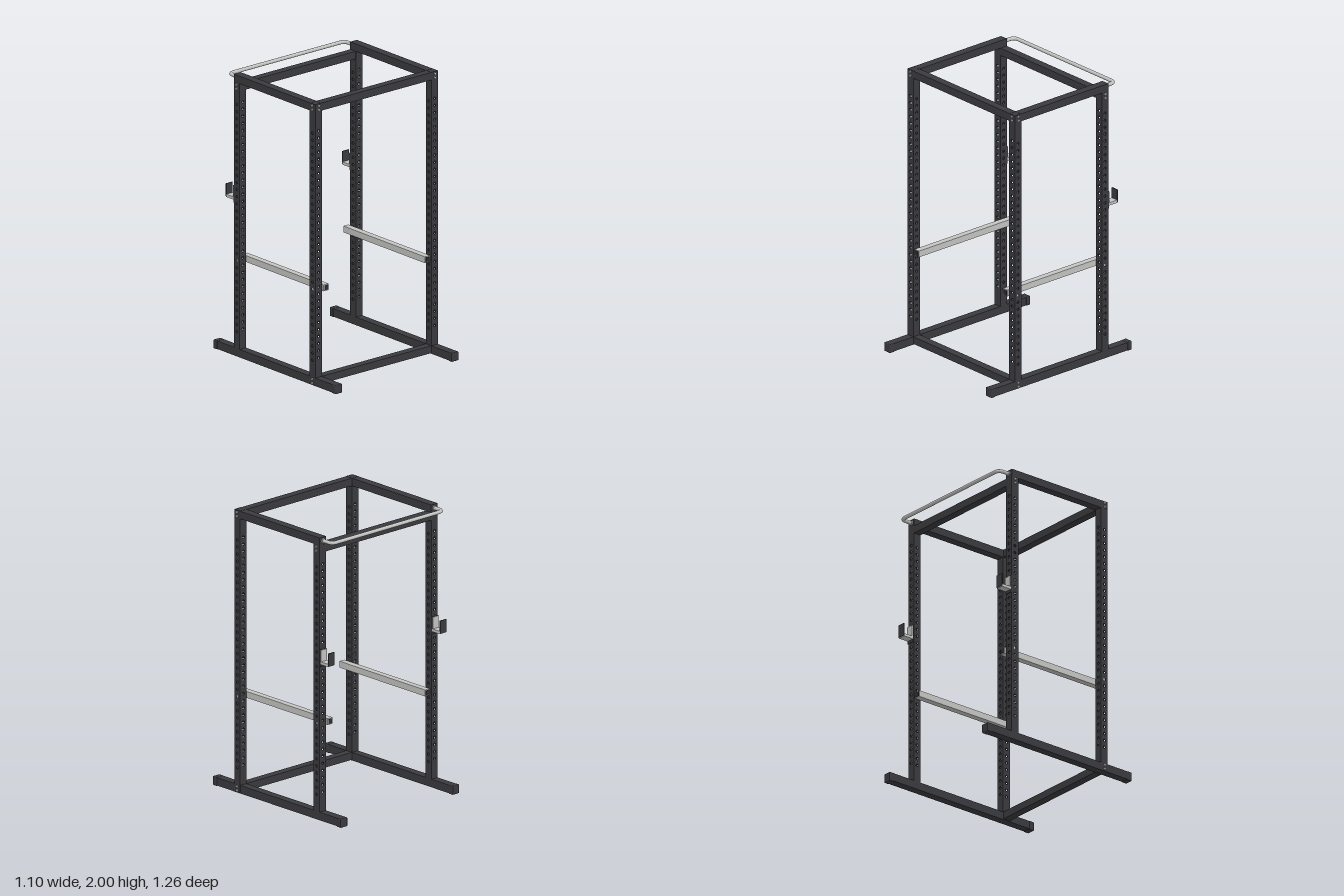
import * as THREE from 'three';
import { RoundedBoxGeometry } from 'three/addons/geometries/RoundedBoxGeometry.js';

export function createModel() {
  const model = new THREE.Group();
  model.name = 'powerRack';
  const mat = (name, color) => {
    const m = new THREE.MeshStandardMaterial({ color });
    m.name = name;
    return m;
  };
  const frame = mat('charcoal frame', 0x3b3a3f);
  const steel = mat('light steel', 0xc4c4c2);
  const black = mat('black plastic', 0x2c2c2f);

  const X = 0.513, Z = 0.39, H = 0.029;   // post centres and half width
  const add = (parent, name, geo, material, x = 0, y = 0, z = 0) => {
    const mesh = new THREE.Mesh(geo, material);
    mesh.name = name;
    mesh.position.set(x, y, z);
    parent.add(mesh);
    return mesh;
  };
  const box = (parent, name, material, w, h, d, x, y, z) =>
    add(parent, name, new THREE.BoxGeometry(w, h, d), material, x, y, z);
  const rod = (parent, name, r, len, axis, x, y, z, sides = 16) => {
    const g = new THREE.CylinderGeometry(r, r, len, sides);
    if (axis === 'x') g.rotateZ(Math.PI / 2);
    if (axis === 'z') g.rotateX(Math.PI / 2);
    return add(parent, name, g, steel, x, y, z);
  };

  // One wall of a hollow post, punched with a column of holes
  const WALL = 0.005;
  const wallGeometry = (bottom, top, firstHole) => {
    const s = new THREE.Shape();
    s.moveTo(-H, bottom);
    s.lineTo(H, bottom);
    s.lineTo(H, top);
    s.lineTo(-H, top);
    s.closePath();
    for (let i = 0; i < 33; i++) {
      const hole = new THREE.Path();
      hole.absarc(0, firstHole + i * 0.0503, 0.0095, 0, Math.PI * 2, true);
      s.holes.push(hole);
    }
    const g = new THREE.ExtrudeGeometry(s, { depth: WALL, bevelEnabled: false, curveSegments: 10 });
    g.translate(0, 0, H - WALL);
    return g;
  };
  const addPost = (name, x, z, bottom, top) => {
    const post = new THREE.Group();
    post.name = name;
    post.position.set(x, 0, z);
    const faceWall = wallGeometry(bottom, top, 0.2);
    const sideWall = wallGeometry(bottom, top, 0.18);
    for (let i = 0; i < 4; i++) {
      const wall = add(post, 'postWall', i % 2 ? sideWall : faceWall, frame);
      wall.rotation.y = i * Math.PI / 2;
    }
    box(post, 'postCap', frame, 2 * H - 0.002, 0.006, 2 * H - 0.002, 0, top - 0.004, 0);
    model.add(post);
  };

  for (const s of [-1, 1]) {
    const x = s * X;
    const side = s > 0 ? 'left' : 'right';
    addPost(side + 'FrontPost', x, Z, 0.004, 2);
    addPost(side + 'RearPost', x, -Z, 0.06, 1.946);

    // Floor runner with end caps, and top side rail
    box(model, side + 'FloorRunner', frame, 0.057, 0.057, 1.23, x, 0.0325, 0);
    for (const e of [-1, 1])
      add(model, 'runnerEndCap', new RoundedBoxGeometry(0.062, 0.063, 0.04, 2, 0.006),
        frame, x, 0.0315, e * 0.61);
    box(model, side + 'TopRail', frame, 0.059, 0.054, 2 * Z + H * 2 - 0.002, x, 1.972, 0);

    // Paired bolts on the outside of each joint
    for (const [y, z] of [[1.972, Z], [1.917, -Z], [0.033, Z]])
      for (const d of [-0.014, 0.014]) {
        rod(model, 'sideBolt', 0.009, 0.009, 'x', x + s * (H + 0.004), y + d, z, 6);
        rod(model, 'innerNut', 0.008, 0.006, 'x', x - s * (H + 0.001), y + d, z, 6);
      }
    // Bolts on the front of the top joint
    for (const d of [-0.014, 0.014])
      rod(model, 'frontBolt', 0.009, 0.009, 'z', x, 1.972 + d, Z + H + 0.004, 6);

    // Safety bar with plugged ends and pins into the posts
    const bx = s * 0.447;
    box(model, side + 'SafetyBar', steel, 0.045, 0.045, 0.84, bx, 0.683, 0);
    for (const e of [-1, 1]) {
      box(model, 'safetyBarPlug', black, 0.033, 0.033, 0.004, bx, 0.683, e * 0.421);
      rod(model, 'safetyPin', 0.0085, 0.08, 'x', s * 0.499, 0.683, e * Z);
    }

    // Bar hook behind the rear post: plate, liner, shelf, lip and pins
    const hook = new THREE.Group();
    hook.name = side + 'BarHook';
    hook.position.set(x, 0, -Z - H);
    box(hook, 'hookPlate', frame, 0.056, 0.124, 0.006, 0, 1.148, -0.004);
    box(hook, 'hookLiner', steel, 0.054, 0.085, 0.005, 0, 1.165, -0.0095);
    box(hook, 'hookShelf', steel, 0.056, 0.02, 0.075, 0, 1.116, -0.0445);
    box(hook, 'hookLip', frame, 0.056, 0.09, 0.006, 0, 1.156, -0.083);
    for (const y of [1.105, 1.155, 1.206])
      rod(hook, 'hookPin', 0.006, 0.05, 'z', 0, y, 0.02);
    model.add(hook);

    // Flange of the pull-up bar
    rod(model, 'pullUpBarFlange', 0.018, 0.008, 'z', s * 0.51, 1.973, -Z - H - 0.004, 20);
  }

  // Crossmembers: front bottom, front top and a lower rear top
  const span = 2 * (X - H) + 0.004;
  box(model, 'frontBottomCrossmember', frame, span, 0.052, 0.056, 0, 0.035, Z);
  box(model, 'frontTopCrossmember', frame, span, 0.054, 0.056, 0, 1.972, Z);
  box(model, 'rearTopCrossmember', frame, span, 0.054, 0.056, 0, 1.918, -Z);

  // Pull-up bar with bent ends
  const y = 1.973, bx = 0.51, z0 = -Z - H + 0.005, z1 = -0.507, r = 0.042;
  const v = (x, z) => new THREE.Vector3(x, y, z);
  const path = new THREE.CurvePath();
  path.add(new THREE.LineCurve3(v(-bx, z0), v(-bx, z1 + r)));
  path.add(new THREE.QuadraticBezierCurve3(v(-bx, z1 + r), v(-bx, z1), v(-bx + r, z1)));
  path.add(new THREE.LineCurve3(v(-bx + r, z1), v(bx - r, z1)));
  path.add(new THREE.QuadraticBezierCurve3(v(bx - r, z1), v(bx, z1), v(bx, z1 + r)));
  path.add(new THREE.LineCurve3(v(bx, z1 + r), v(bx, z0)));
  add(model, 'pullUpBar', new THREE.TubeGeometry(path, 160, 0.013, 16), steel);

  return model;
}
